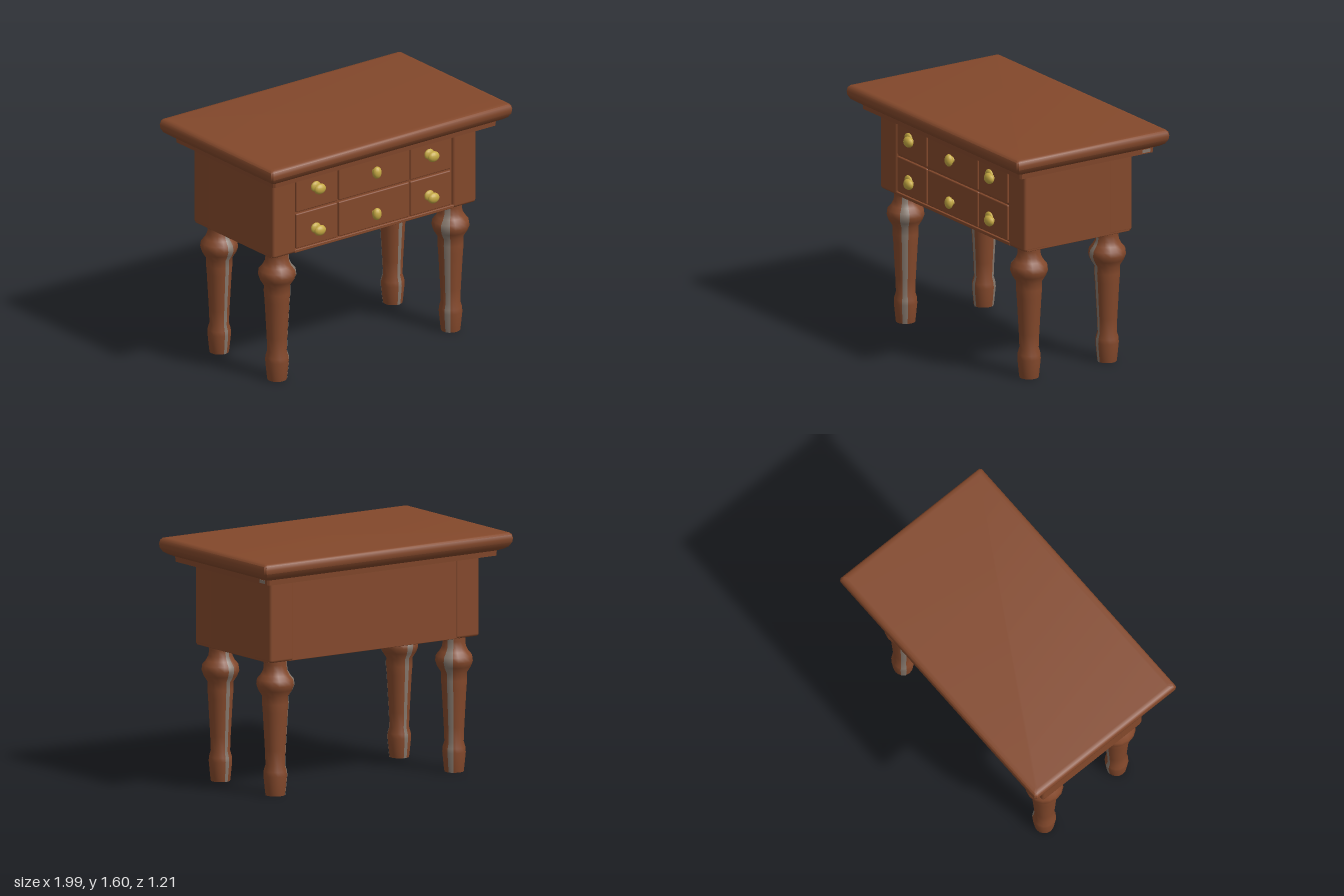
import * as THREE from 'three';
import { toCreasedNormals } from 'three/addons/utils/BufferGeometryUtils.js';
import { RoundedBoxGeometry } from 'three/addons/geometries/RoundedBoxGeometry.js';

const wood = new THREE.MeshStandardMaterial({ color: 0x83482b });
wood.name = 'brownWood';
const brass = new THREE.MeshStandardMaterial({ color: 0xc4a843 });
brass.name = 'brass';
const worn = new THREE.MeshStandardMaterial({ color: 0x85776c });
worn.name = 'greyWear';

const CX = -0.013; // the case sits slightly off centre under the top
const KNOB_X = [-0.485, -0.015, 0.45];

function add(parent, name, geometry, material, x = 0, y = 0, z = 0) {
  const mesh = new THREE.Mesh(geometry, material);
  mesh.name = name;
  mesh.position.set(x, y, z);
  parent.add(mesh);
  return mesh;
}

// Box given by its limits, with softly rounded edges
function panel(parent, name, [x0, x1], [y0, y1], [z0, z1], r = 0.004) {
  const g = new RoundedBoxGeometry(x1 - x0, y1 - y0, z1 - z0, 2, r);
  return add(parent, name, g, wood, (x0 + x1) / 2, (y0 + y1) / 2, (z0 + z1) / 2);
}

// Moulded slab: rectangular rings [inset, y] joined from bottom to top, capped
function mouldedSlab(halfX, halfZ, rings) {
  const pos = [], index = [], c = 0.012;
  for (const [inset, y] of rings) {
    const a = halfX - inset, b = halfZ - inset;
    for (const [x, z] of [[a, b - c], [a, c - b], [a - c, -b], [c - a, -b], [-a, c - b], [-a, b - c], [c - a, b], [a - c, b]])
      pos.push(x, y, z);
  }
  const n = 8, last = (rings.length - 1) * n;
  for (let r = 0; r < last; r += n)
    for (let i = 0; i < n; i++) {
      const j = (i + 1) % n;
      index.push(r + i, r + j, r + n + j, r + i, r + n + j, r + n + i);
    }
  for (let i = 1; i < n - 1; i++) {
    index.push(0, i + 1, i);
    index.push(last, last + i, last + i + 1);
  }
  const g = new THREE.BufferGeometry();
  g.setAttribute('position', new THREE.Float32BufferAttribute(pos, 3));
  g.setIndex(index);
  return toCreasedNormals(g, 0.75);
}

const legProfile = [
  [0, 0], [0.064, 0], [0.068, 0.03], [0.078, 0.13], [0.076, 0.16], [0.064, 0.2], [0.068, 0.3],
  [0.082, 0.55], [0.087, 0.61], [0.086, 0.66], [0.112, 0.7], [0.125, 0.735], [0.12, 0.77],
  [0.095, 0.8], [0.079, 0.83], [0.075, 0.87], [0.078, 0.92],
].map(([r, y]) => new THREE.Vector2(r, y));
const stripProfile = legProfile.slice(1).map(p => new THREE.Vector2(p.x + 0.002, p.y));

function makeLeg(sx, sz) {
  const leg = new THREE.Group();
  leg.name = (sz > 0 ? 'front' : 'back') + (sx > 0 ? 'LeftLeg' : 'RightLeg');
  add(leg, 'turnedLeg', toCreasedNormals(new THREE.LatheGeometry(legProfile, 16), 0.7), wood);
  // Worn strips [direction x, direction z, angular width]: beside the knee hole and on the inward side
  for (const [dx, dz, width] of [[-sx * 0.8, sz * 0.6, 0.5], [0, -sz, 0.34]])
    add(leg, 'wornStrip', new THREE.LatheGeometry(stripProfile, 4, Math.atan2(dx, dz) - width / 2, width), worn);
  leg.position.set(CX + sx * 0.715, 0, sz > 0 ? 0.312 : -0.303);
  return leg;
}

function makeKnob(x, y, wide) {
  const knob = new THREE.Group();
  knob.name = 'drawerKnob';
  const stem = new THREE.CylinderGeometry(0.019, 0.024, 0.09, 10);
  add(knob, 'stem', stem, brass, 0, 0, -0.035).rotation.x = Math.PI / 2;
  const head = add(knob, 'head', new THREE.SphereGeometry(0.036, 14, 10), brass, 0, 0, 0.016);
  head.scale.set(wide ? 1.25 : 0.9, wide ? 1 : 1.15, 0.75);
  if (wide) {
    const plate = add(knob, 'backPlate', new THREE.SphereGeometry(0.036, 12, 8), brass, -0.022, 0.018, 0);
    plate.scale.set(1.1, 1, 0.5);
  }
  knob.position.set(x, y, 0.44);
  return knob;
}

export function createModel() {
  const table = new THREE.Group();
  table.name = 'drawerTable';

  // Top with a rounded, stepped edge
  add(table, 'tableTop', mouldedSlab(0.995, 0.603, [
    [0.078, 1.443], [0.075, 1.478], [0.045, 1.49], [0.018, 1.508], [0.003, 1.535],
    [0, 1.56], [0.005, 1.585], [0.016, 1.597], [0.04, 1.6],
  ]), wood);

  // Small brass marks under the back overhang and a worn patch at one corner
  for (const x of KNOB_X)
    add(table, 'brassMark', new THREE.BoxGeometry(0.08, 0.006, 0.05), brass, x, 1.442, -0.475);
  add(table, 'wornPatch', new THREE.BoxGeometry(0.006, 0.022, 0.06), worn, 0.918, 1.462, -0.465);

  // Case: corner posts and walls, open underneath
  const frame = new THREE.Group();
  frame.name = 'case';
  table.add(frame);
  const L = CX - 0.837, R = CX + 0.837, Y = [0.9, 1.46];
  for (const z of [[0.24, 0.43], [-0.42, -0.23]]) {
    panel(frame, 'cornerPost', [L, L + 0.19], Y, z, 0.018);
    panel(frame, 'cornerPost', [R - 0.19, R], Y, z, 0.018);
  }
  panel(frame, 'rightSide', [L + 0.001, L + 0.03], Y, [-0.4, 0.41]);
  panel(frame, 'leftSide', [R - 0.03, R - 0.001], Y, [-0.4, 0.41]);
  panel(frame, 'backPanel', [L + 0.15, R - 0.15], Y, [-0.415, -0.388]);
  panel(frame, 'drawerBacking', [L + 0.18, R - 0.18], [0.905, 1.45], [0.395, 0.412]);
  panel(frame, 'topRail', [L + 0.18, R - 0.18], [1.43, 1.46], [0.38, 0.428]);
  panel(frame, 'bottomRail', [L + 0.18, R - 0.18], [0.9, 0.922], [0.38, 0.428]);

  // Two rows of three drawers, each with a knob
  const columns = [[-0.657, -0.318], [-0.305, 0.275], [0.285, 0.618]];
  for (const [y0, y1, knobY] of [[0.926, 1.168, 1.025], [1.18, 1.427, 1.315]])
    columns.forEach((x, i) => {
      panel(frame, 'drawerFront', x, [y0, y1], [0.378, 0.426], 0.008);
      table.add(makeKnob(KNOB_X[i], knobY, i !== 1));
    });

  // Turned legs
  for (const sx of [-1, 1]) for (const sz of [-1, 1]) table.add(makeLeg(sx, sz));

  return table;
}
